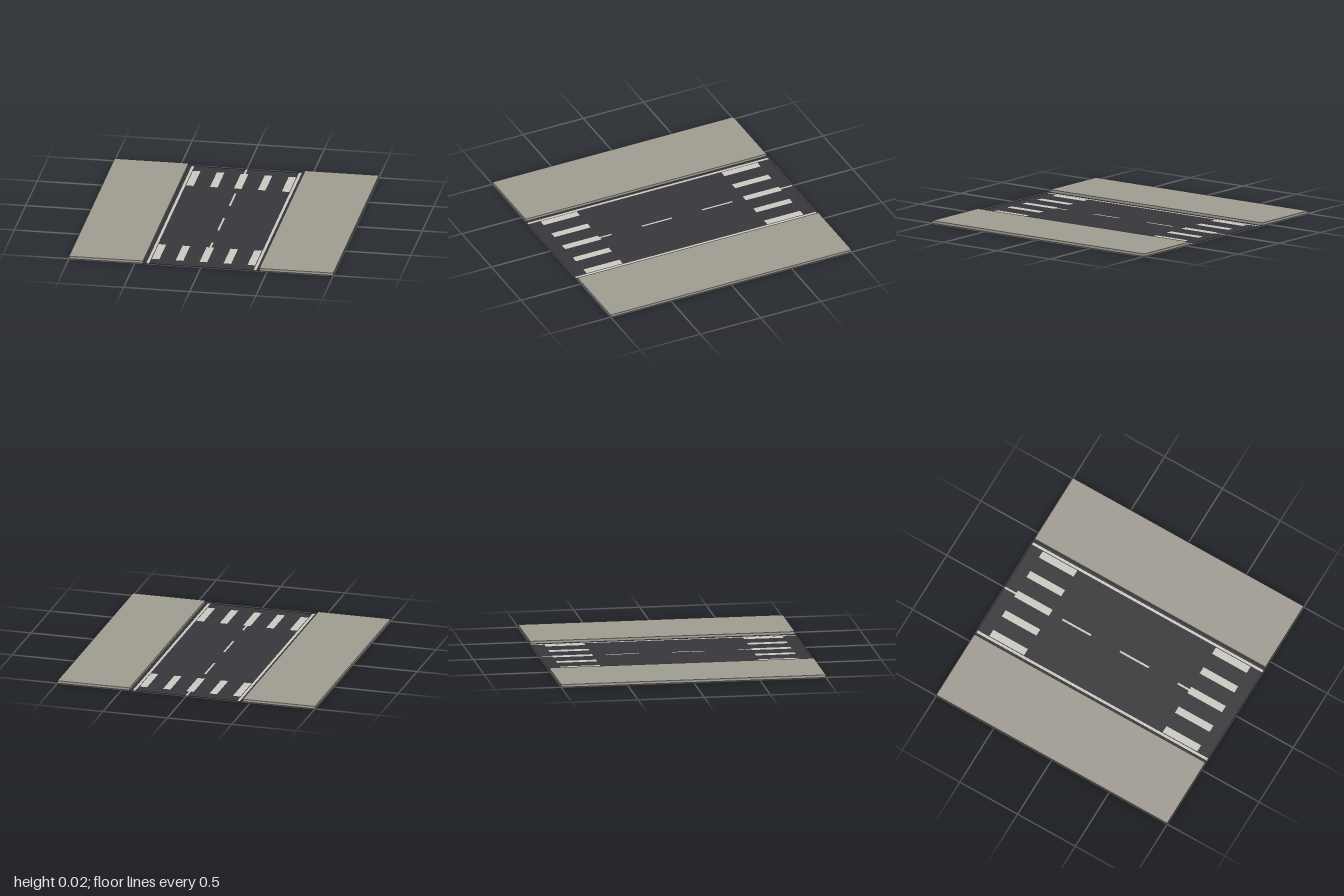
import * as THREE from 'three';

const mat = (color) => new THREE.MeshStandardMaterial({ color, side: THREE.DoubleSide });

export function createModel() {
  const group = new THREE.Group();
  const asphalt = mat(0x38383c);
  const paint = mat(0xcccac2);
  const paving = mat(0xa09c92);

  // Flat horizontal rectangle
  const flat = (name, material, w, d, x, y, z) => {
    const mesh = new THREE.Mesh(new THREE.PlaneGeometry(w, d).rotateX(-Math.PI / 2), material);
    mesh.position.set(x, y, z);
    mesh.name = name;
    group.add(mesh);
  };

  // Hollow slab: a box without its bottom face
  const slab = (name, w, h, d, x, z) => {
    const geo = new THREE.BoxGeometry(w, h, d);
    const index = Array.from(geo.index.array);
    index.splice(18, 6);
    geo.setIndex(index);
    geo.clearGroups();
    const mesh = new THREE.Mesh(geo, paving);
    mesh.position.set(x, h / 2, z);
    mesh.name = name;
    group.add(mesh);
  };

  flat('roadSurface', asphalt, 0.88, 2, 0, 0, 0);

  // Pavement on each side, in three sections, and the road edge line
  for (const side of [-1, 1]) {
    const label = side > 0 ? 'left' : 'right';
    slab(label + 'PavementMiddle', 0.56, 0.02, 0.88, side * 0.72, 0);
    slab(label + 'PavementFront', 0.56, 0.02, 0.56, side * 0.72, 0.72);
    slab(label + 'PavementBack', 0.56, 0.02, 0.56, side * 0.72, -0.72);
    flat(label + 'EdgeLine', paint, 0.02, 2, side * 0.406, 0.001, 0);
  }

  // Dashed centre line
  for (let i = 0; i < 4; i++) {
    flat('centreDash', paint, 0.015, 0.25, 0, 0.001, -0.875 + i * 0.5);
  }

  // Pedestrian crossings at both ends
  for (const end of [-1, 1]) {
    for (let i = -2; i <= 2; i++) {
      flat('crossingStripe', paint, 0.057, 0.3, i * 0.181, 0.0015, end * 0.75);
    }
  }
  return group;
}
